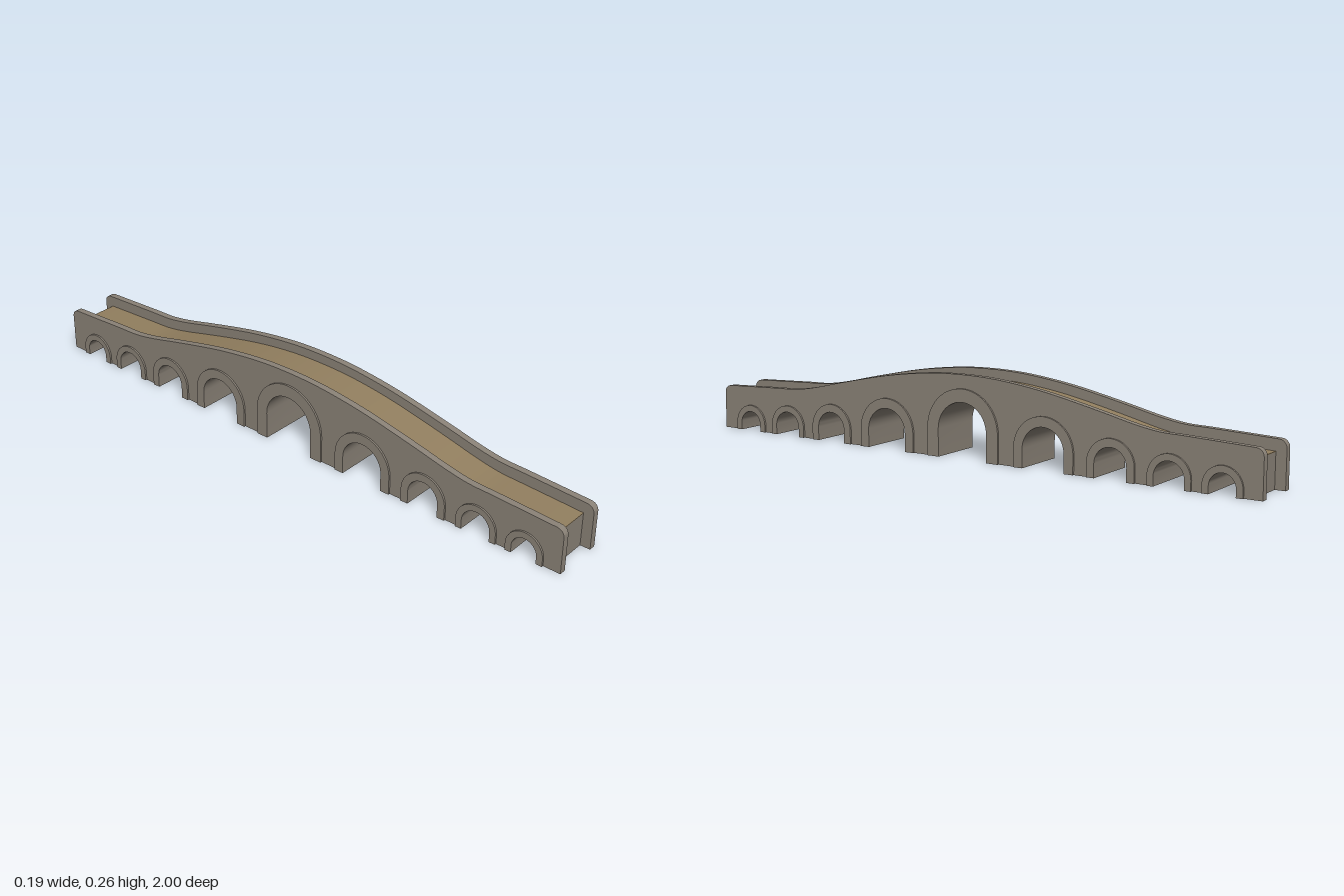
import * as THREE from 'three';
import { toCreasedNormals } from 'three/addons/utils/BufferGeometryUtils.js';

// Half profiles as [z, y], from the crown to one end
const WALL_TOP = [[0, 0.265], [0.1, 0.262], [0.2, 0.252], [0.3, 0.237], [0.4, 0.217], [0.5, 0.195],
  [0.6, 0.172], [0.68, 0.159], [0.76, 0.156], [0.88, 0.151], [0.975, 0.147]];
const ROAD_TOP = [[0, 0.235], [0.1, 0.232], [0.2, 0.222], [0.3, 0.206], [0.4, 0.185], [0.5, 0.162],
  [0.6, 0.138], [0.68, 0.124], [0.76, 0.12], [0.88, 0.115], [0.967, 0.111]];

// Arches: centre z, half width, height, rim width
const HALF_ARCHES = [[0.294, 0.073, 0.133, 0.032], [0.524, 0.054, 0.098, 0.026],
  [0.714, 0.049, 0.08, 0.021], [0.88, 0.042, 0.066, 0.021]];
const ARCHES = [[0, 0.09, 0.18, 0.042], ...HALF_ARCHES,
  ...HALF_ARCHES.map(([z, ...rest]) => [-z, ...rest])].sort((a, b) => a[0] - b[0]);

// Smooth full-length curve from a half profile, running from -z to +z
function fullCurve(half) {
  const mirrored = half.slice(1).reverse().map(([z, y]) => [-z, y]);
  const pts = [...mirrored, ...half].map(([z, y]) => new THREE.Vector2(z, y));
  return new THREE.SplineCurve(pts).getPoints(100);
}

// Stilted round arch, from the -z foot over to the +z foot
function archPoints([z, halfWidth, height], grow = 0) {
  const r = halfWidth + grow, spring = height - halfWidth, pts = [new THREE.Vector2(z - r, 0)];
  for (let i = 0; i <= 24; i++) {
    const a = Math.PI * (1 - i / 24);
    pts.push(new THREE.Vector2(z + r * Math.cos(a), spring + r * Math.sin(a)));
  }
  pts.push(new THREE.Vector2(z + r, 0));
  return pts;
}

// Extrude a (z, y) outline across the bridge
function acrossBridge(points, width, x, material, name) {
  let geo = new THREE.ExtrudeGeometry(new THREE.Shape(points), { depth: width, bevelEnabled: false });
  geo.translate(0, 0, -width / 2);
  geo.rotateY(-Math.PI / 2);
  geo = toCreasedNormals(geo, 0.6);
  const mesh = new THREE.Mesh(geo, material);
  mesh.position.x = x;
  mesh.name = name;
  return mesh;
}

// Strip following a curve, between two offsets below it
function band(curve, upper, lower) {
  const shifted = (d) => curve.map((p) => new THREE.Vector2(p.x, p.y - d));
  return [...shifted(upper), ...shifted(lower).reverse()];
}

// Rounded top corner of a side wall
function corner(side) {
  const pts = [];
  for (let i = 0; i <= 6; i++) {
    const a = (i / 6) * Math.PI / 2;
    pts.push(new THREE.Vector2(side * (0.975 + 0.025 * Math.sin(a)), 0.122 + 0.025 * Math.cos(a)));
  }
  return pts;
}

export function createModel() {
  const group = new THREE.Group();
  const stone = new THREE.MeshStandardMaterial({ color: 0x8a8277 });
  stone.name = 'stone';
  const earth = new THREE.MeshStandardMaterial({ color: 0x927f5f });
  earth.name = 'packed earth';

  // Side walls with parapets, cut away behind the arch rims
  const outline = [new THREE.Vector2(-1, 0)];
  for (const arch of ARCHES) outline.push(...archPoints(arch, arch[3] * 0.5));
  outline.push(new THREE.Vector2(1, 0));
  outline.push(...corner(1).reverse());
  outline.push(...fullCurve(WALL_TOP).reverse().slice(1, -1));
  outline.push(...corner(-1));
  for (const side of [-1, 1]) {
    group.add(acrossBridge(outline, 0.022, side * 0.076, stone, side > 0 ? 'leftWall' : 'rightWall'));
  }

  // Arch vaults running through the bridge, standing proud of the walls
  ARCHES.forEach((arch, i) => {
    const ring = [...archPoints(arch, arch[3]), ...archPoints(arch).reverse()];
    group.add(acrossBridge(ring, 0.186, 0, stone, 'archVault' + (i + 1)));
  });

  // Deck slab and road surface
  const road = fullCurve(ROAD_TOP);
  group.add(acrossBridge(band(road, 0.002, 0.012), 0.132, 0, stone, 'deckSlab'));
  group.add(acrossBridge(band(road, 0, 0.002), 0.132, 0, earth, 'roadSurface'));

  // End walls closing the hollow body
  for (const side of [-1, 1]) {
    const end = new THREE.Mesh(new THREE.BoxGeometry(0.132, 0.108, 0.014), stone);
    end.position.set(0, 0.054, side * 0.96);
    end.name = side > 0 ? 'frontEndWall' : 'backEndWall';
    group.add(end);
  }
  return group;
}
